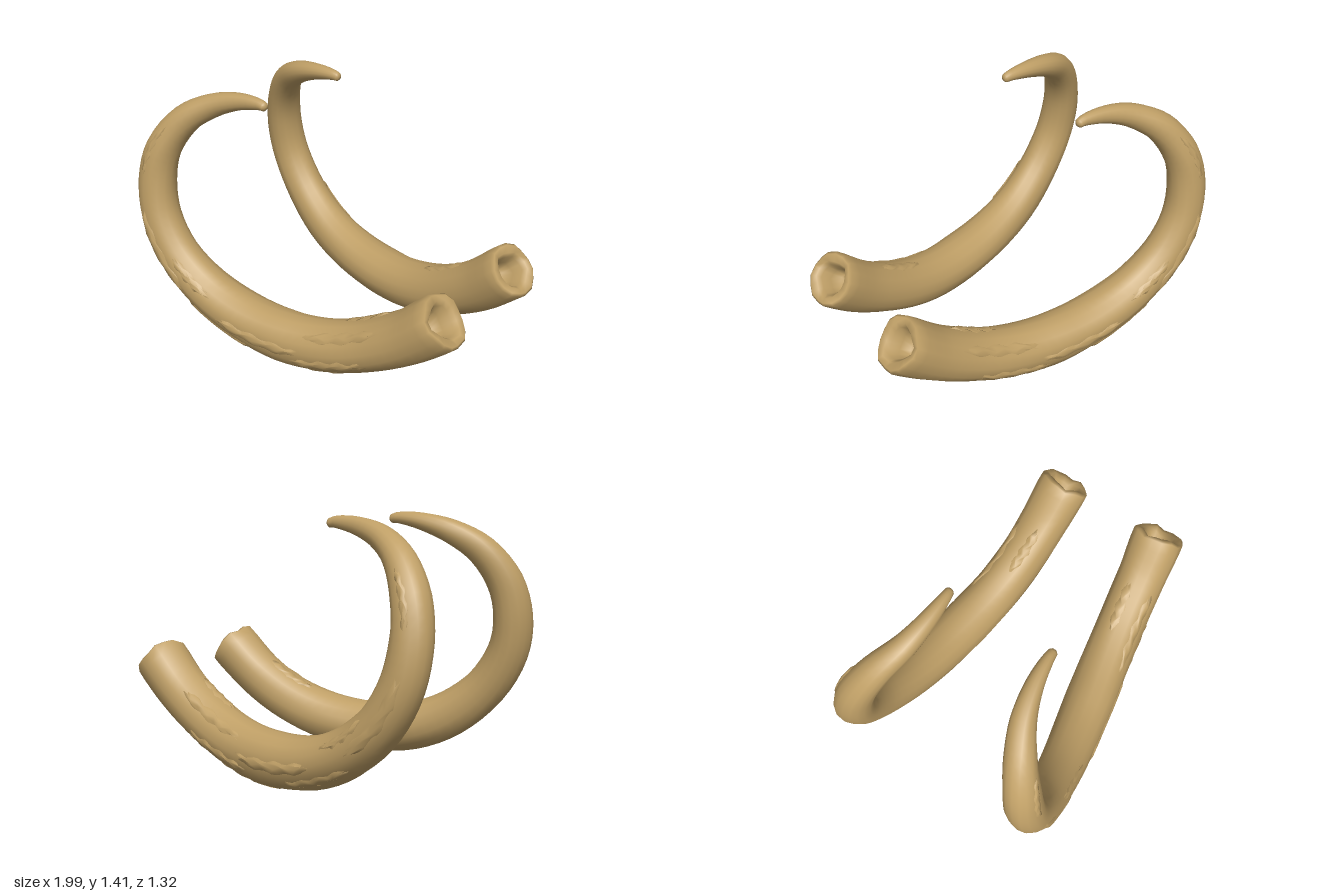
import * as THREE from 'three';

// Centreline of one tusk from root to tip: x, y, z, radius
const PATH = [
  [0.90, 0.572, 0.315, 0.152], [0.70, 0.40, 0.335, 0.143], [0.46, 0.26, 0.36, 0.141],
  [0.22, 0.18, 0.395, 0.143], [-0.04, 0.154, 0.44, 0.145], [-0.30, 0.186, 0.48, 0.138],
  [-0.54, 0.285, 0.515, 0.128], [-0.74, 0.455, 0.54, 0.117], [-0.86, 0.66, 0.54, 0.110],
  [-0.892, 0.86, 0.52, 0.105], [-0.86, 1.05, 0.483, 0.097], [-0.76, 1.21, 0.415, 0.082],
  [-0.61, 1.31, 0.34, 0.065], [-0.45, 1.36, 0.303, 0.047], [-0.31, 1.375, 0.292, 0.030],
  [-0.272, 1.370, 0.293, 0.024],
];
const LAST = PATH.length - 1;
const SIDES = 16;
const curve = new THREE.CatmullRomCurve3(PATH.map(([x, y, z]) => new THREE.Vector3(x, y, z)));

function radiusAt(k) {
  const i = Math.min(Math.floor(k), LAST - 1);
  return THREE.MathUtils.lerp(PATH[i][3], PATH[i + 1][3], k - i);
}

// Gentle weathering of the skin
function weather(k, a) {
  return 1 + 0.018 * Math.sin(3 * a + 1.3 * k) + 0.014 * Math.sin(5 * a - 2.1 * k + 1);
}

// Point around the centreline: k = station, a = angle (0 faces outward in z),
// r = radius, shift = distance along the tusk
function around(k, a, r, shift = 0) {
  const u = THREE.MathUtils.clamp(k / LAST, 0, 1);
  const t = curve.getTangent(u);
  const b = new THREE.Vector3(0, 0, 1).addScaledVector(t, -t.z).normalize();
  const n = new THREE.Vector3().crossVectors(t, b);
  return curve.getPoint(u).addScaledVector(t, shift)
    .addScaledVector(b, r * Math.cos(a)).addScaledVector(n, r * Math.sin(a));
}

// Grid surface; side = -1 mirrors it in z and reverses its faces
function surface(rows, cols, wrap, side, point) {
  const pos = [], index = [];
  for (let i = 0; i < rows; i++)
    for (let j = 0; j < cols; j++) {
      const p = point(i, j);
      pos.push(p.x, p.y, p.z * side);
    }
  for (let i = 0; i < rows - 1; i++)
    for (let j = 0; j < (wrap ? cols : cols - 1); j++) {
      const j1 = (j + 1) % cols;
      const a = i * cols + j, b = i * cols + j1, c = a + cols, d = b + cols;
      if (side > 0) index.push(a, b, c, b, d, c);
      else index.push(a, c, b, b, c, d);
    }
  const g = new THREE.BufferGeometry();
  g.setAttribute('position', new THREE.Float32BufferAttribute(pos, 3));
  g.setIndex(index);
  g.computeVertexNormals();
  return g;
}

// Rings from the bottom of the root hollow, over the rim, to the blunt tip
function tuskRings() {
  const rings = [
    [0, 0.0005, 0.15], [0, 0.05, 0.14], [0, 0.066, 0.08],
    [0, 0.082, 0.025], [0, 0.10, 0.002], [0, 0.135, -0.004], [0, 0.149, 0.008],
  ].map(([k, r, shift]) => ({ k, r, shift, rim: true }));
  for (let k = 0.25; k <= LAST; k += 0.25) rings.push({ k, r: radiusAt(k), shift: 0 });
  rings.push({ k: LAST, r: 0.015, shift: 0.009 }, { k: LAST, r: 0.0005, shift: 0.011 });
  return rings;
}

// Peeling plates of the outer layer: start, end, first angle, last angle
const FLAKES = [
  [1.9, 3.6, -0.75, -0.2], [1.3, 3.3, 0.45, 0.95], [3.4, 5.4, -0.3, 0.25],
  [4.6, 6.1, -1.0, -0.45], [6.3, 8.2, -0.5, 0.2], [9.3, 10.6, -0.4, 0.1],
  [1.2, 2.4, 1.5, 2.0], [2.6, 4.2, -1.6, -1.1], [5.8, 6.9, 0.3, 0.8],
];

function flake([k0, k1, a0, a1], side) {
  const rows = 11, cols = 5;
  return surface(rows, cols, false, side, (i, j) => {
    const edge = i === 0 || j === 0 || i === rows - 1 || j === cols - 1;
    const ragged = 0.06 * Math.sin(i * 2.3 + k0 * 5 + j);
    const taper = 0.35 + 0.65 * Math.sin(Math.PI * (0.1 + 0.8 * i / (rows - 1)));
    const k = k0 + (k1 - k0) * i / (rows - 1) + 0.12 * Math.sin(j * 2.7 + k0);
    const a = (a0 + a1) / 2 + (a1 - a0) * (j / (cols - 1) - 0.5) * taper + ragged;
    return around(k, a, radiusAt(k) * weather(k, a) + (edge ? -0.006 : 0.006));
  });
}

function buildTusk(side, material) {
  const tusk = new THREE.Group();
  const rings = tuskRings();
  const body = new THREE.Mesh(surface(rings.length, SIDES, true, side, (i, j) => {
    const { k, r, shift, rim } = rings[i];
    const a = j / SIDES * Math.PI * 2;
    // broken, uneven edge around the root
    const chip = rim && r > 0.06 ? 0.007 * Math.sin(4 * a + 0.6) + 0.005 * Math.sin(7 * a) : 0;
    const wobble = rim && r < 0.11 ? 1 + 0.08 * Math.sin(3 * a + 1) : weather(k, a);
    return around(k, a, r * wobble, shift + chip);
  }), material);
  body.name = 'tuskBody';
  tusk.add(body);
  FLAKES.forEach((f) => {
    const mesh = new THREE.Mesh(flake(f, side), material);
    mesh.name = 'peelingPlate';
    tusk.add(mesh);
  });
  return tusk;
}

export function createModel() {
  const ivory = new THREE.MeshStandardMaterial({ color: 0xbf9f66 });
  ivory.name = 'agedIvory';
  const model = new THREE.Group();
  model.name = 'tuskPair';
  [['frontTusk', 1], ['backTusk', -1]].forEach(([name, side]) => {
    const tusk = buildTusk(side, ivory);
    tusk.name = name;
    model.add(tusk);
  });
  return model;
}
